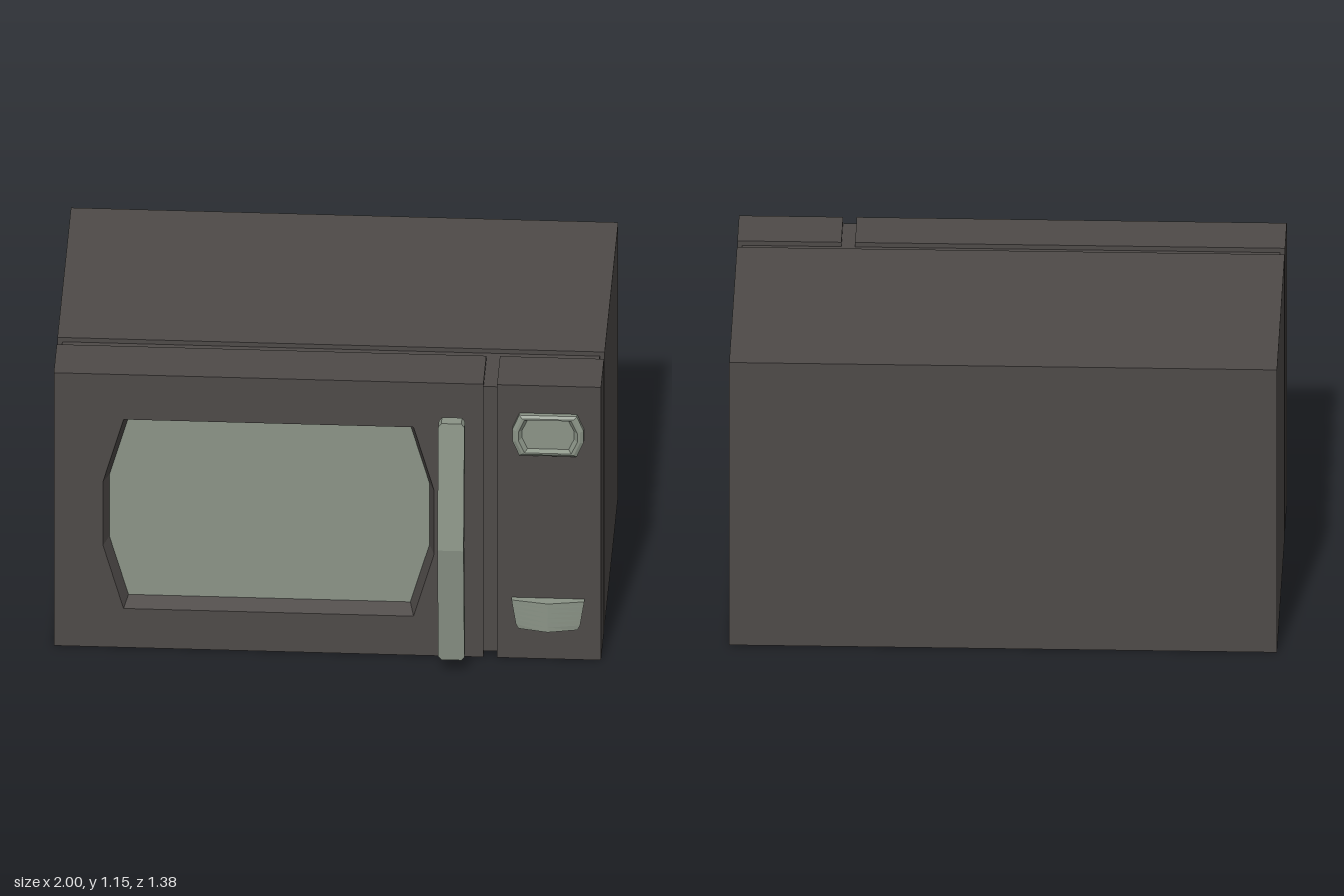
import * as THREE from 'three';

const dark = new THREE.MeshStandardMaterial({ name: 'charcoal casing', color: 0x4e4a48, flatShading: true });
const green = new THREE.MeshStandardMaterial({ name: 'grey green trim', color: 0x8b9487, flatShading: true });

// Counter-clockwise octagon with cut corners
function octagon(cx, cy, w, h, cutX, cutY) {
  const a = w / 2, b = h / 2;
  return [
    [-a + cutX, -b], [a - cutX, -b], [a, -b + cutY], [a, b - cutY],
    [a - cutX, b], [-a + cutX, b], [-a, b - cutY], [-a, -b + cutY],
  ].map(([x, y]) => new THREE.Vector2(cx + x, cy + y));
}

// Sloping wall between two matching outlines at different depths
function band(outer, zOuter, inner, zInner) {
  const pos = [];
  outer.forEach((p, i) => {
    const j = (i + 1) % outer.length;
    const a = [p.x, p.y, zOuter], b = [outer[j].x, outer[j].y, zOuter];
    const c = [inner[j].x, inner[j].y, zInner], d = [inner[i].x, inner[i].y, zInner];
    pos.push(...a, ...b, ...c, ...a, ...c, ...d);
  });
  const g = new THREE.BufferGeometry();
  g.setAttribute('position', new THREE.Float32BufferAttribute(pos, 3));
  g.computeVertexNormals();
  return g;
}

// Flat slab from an outline, between two depths, with an optional hole
function slab(points, z0, z1, hole) {
  const shape = new THREE.Shape(points);
  if (hole) shape.holes.push(new THREE.Path(hole));
  return new THREE.ExtrudeGeometry(shape, { depth: z1 - z0, bevelEnabled: false }).translate(0, 0, z0);
}

function rect(x0, x1, y0, y1) {
  return [[x0, y0], [x1, y0], [x1, y1], [x0, y1]].map(([x, y]) => new THREE.Vector2(x, y));
}

export function createModel() {
  const model = new THREE.Group();
  model.name = 'microwave';
  const H = 1.155;

  function add(name, geometry, material, parent = model) {
    const mesh = new THREE.Mesh(geometry, material);
    mesh.name = name;
    parent.add(mesh);
    return mesh;
  }
  function box(name, x0, x1, y0, y1, z0, z1, material, parent) {
    const g = new THREE.BoxGeometry(x1 - x0, y1 - y0, z1 - z0);
    g.translate((x0 + x1) / 2, (y0 + y1) / 2, (z0 + z1) / 2);
    return add(name, g, material, parent);
  }

  // Casing, with recessed seams behind and beside the door
  box('casing', -1, 1, 0, H, -0.69, 0.245, dark);
  box('rearSeam', -0.982, 0.982, 0.018, H - 0.018, 0.24, 0.3, dark);
  box('doorSeam', 0.565, 0.625, 0.018, H - 0.018, 0.295, 0.485, dark);
  box('controlPanel', 0.62, 1, 0, H, 0.295, 0.5, dark);

  // Door with a bevelled window recess
  const door = new THREE.Group();
  door.name = 'door';
  model.add(door);
  const windowOuter = octagon(-0.215, 0.565, 1.21, 0.8, 0.075, 0.265);
  const windowInner = octagon(-0.215, 0.565, 1.17, 0.75, 0.07, 0.245);
  add('doorFrame', slab(rect(-1, 0.57, 0, H), 0.295, 0.5, windowOuter), dark, door);
  add('windowBevel', band(windowOuter, 0.5, windowInner, 0.44), dark, door);
  add('windowPane', slab(windowInner, 0.432, 0.44), green, door);

  // Bent handle: rows of a box pushed out towards the middle, ends narrowed
  const handle = new THREE.Group();
  handle.name = 'handle';
  model.add(handle);
  const rows = [[-0.5, 0.76], [-0.485, 1], [0, 1], [0.485, 1], [0.5, 0.76]]; // height, width factor
  const bar = new THREE.BoxGeometry(0.096, 4, 0.045, 1, 4, 1);
  const p = bar.attributes.position;
  for (let i = 0; i < p.count; i++) {
    const [y, widen] = rows[Math.round(p.getY(i)) + 2];
    p.setXYZ(i, 0.46 + p.getX(i) * widen, 0.56 + y, p.getZ(i) + 0.672 - 0.13 * Math.abs(y));
  }
  bar.computeVertexNormals();
  add('handleBar', bar, green, handle);
  box('upperHandlePost', 0.433, 0.487, 0.905, 1.01, 0.495, 0.6, green, handle);
  box('lowerHandlePost', 0.433, 0.487, 0.112, 0.215, 0.495, 0.6, green, handle);

  // Display: raised rim, chamfered outside and inside, around a sunken face
  const display = new THREE.Group();
  display.name = 'display';
  model.add(display);
  const rim = octagon(0.807, 0.953, 0.26, 0.17, 0.025, 0.06);
  const rimTop = octagon(0.807, 0.953, 0.235, 0.15, 0.023, 0.053);
  const lip = octagon(0.807, 0.953, 0.215, 0.138, 0.022, 0.05);
  const face = octagon(0.807, 0.953, 0.19, 0.12, 0.02, 0.044);
  add('displayRim', slab(rim, 0.495, 0.517, lip), green, display);
  add('rimChamfer', band(rim, 0.517, rimTop, 0.525), green, display);
  add('rimFront', band(rimTop, 0.525, lip, 0.525), green, display);
  add('rimInnerBevel', band(lip, 0.525, face, 0.508), green, display);
  add('displayFace', slab(face, 0.5, 0.508), green, display);

  // Door button: pointed in plan, tapering downwards with clipped lower corners
  const plan = new THREE.Shape([
    [-0.133, 0.495], [-0.133, 0.52], [0, 0.543], [0.133, 0.52], [0.133, 0.495],
  ].map(([x, z]) => new THREE.Vector2(x, -z)));
  const button = new THREE.ExtrudeGeometry(plan, { depth: 0.12, steps: 6, bevelEnabled: false });
  button.rotateX(-Math.PI / 2);
  const q = button.attributes.position;
  for (let i = 0; i < q.count; i++) {
    const y = q.getY(i);
    const taper = y < 0.01 ? 0.81 : 0.86 + 0.14 * (y / 0.12);
    q.setXYZ(i, 0.807 + q.getX(i) * taper, 0.137 + y, q.getZ(i));
  }
  button.computeVertexNormals();
  add('doorButton', button, green);

  return model;
}
